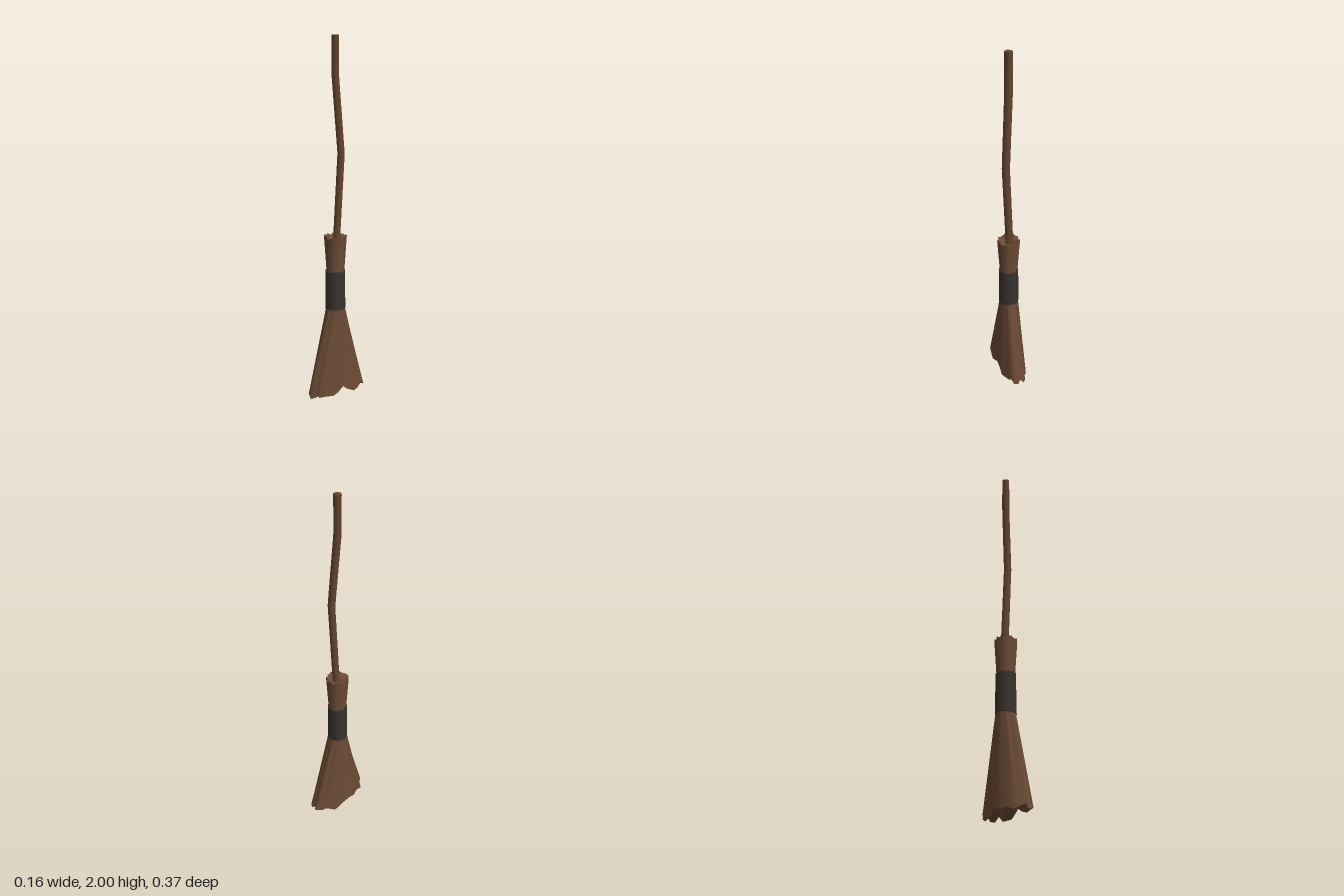
import * as THREE from 'three';

const wood = new THREE.MeshStandardMaterial({ name: 'handle wood', color: 0x65452f });
const straw = new THREE.MeshStandardMaterial({ name: 'brown bristle', color: 0x6b4a35 });
const wrap = new THREE.MeshStandardMaterial({ name: 'dark wrap', color: 0x37332d });

// Small repeatable variation in -1..1
const vary = (i) => Math.sin(i * 12.9898 + 1.7) * Math.cos(i * 4.137);

function geometryFrom(points, index) {
  const g = new THREE.BufferGeometry().setFromPoints(points);
  g.setIndex(index);
  return g;
}

// Smooth skin through closed rings, listed from bottom to top
function loft(rings) {
  const n = rings[0].length, index = [];
  for (let r = 0; r < rings.length - 1; r++) {
    for (let j = 0; j < n; j++) {
      const a = r * n + j, b = r * n + (j + 1) % n;
      index.push(a, a + n, b, b, a + n, b + n);
    }
  }
  const g = geometryFrom(rings.flat(), index);
  g.computeVertexNormals();
  return g;
}

// Flat-shaded fan closing one ring
function cap(ring, centre, up) {
  const n = ring.length, index = [];
  for (let j = 0; j < n; j++) {
    const k = (j + 1) % n;
    index.push(n, up ? k : j, up ? j : k);
  }
  const g = geometryFrom([...ring, centre], index).toNonIndexed();
  g.computeVertexNormals();
  return g;
}

function circle(x, y, z, radius, sides) {
  return Array.from({ length: sides }, (_, j) => {
    const a = (j + 0.5) / sides * Math.PI * 2;
    return new THREE.Vector3(x + radius * Math.cos(a), y, z + radius * Math.sin(a));
  });
}

function part(name, geometry, material) {
  const m = new THREE.Mesh(geometry, material);
  m.name = name;
  return m;
}

// Ragged outline of the bristle tips, as x, z
const TIPS = [
  [0.078, 0], [0.073, 0.03], [0.078, 0.07], [0.071, 0.11], [0.06, 0.155], [0.045, 0.145],
  [0.018, 0.182], [0, 0.185], [-0.025, 0.148], [-0.045, 0.153], [-0.055, 0.11], [-0.075, 0.07],
  [-0.08, 0.035], [-0.072, -0.03], [-0.076, -0.075], [-0.055, -0.135], [-0.038, -0.137],
  [-0.03, -0.178], [-0.015, -0.188], [0, -0.168], [0.015, -0.183], [0.04, -0.175],
  [0.05, -0.155], [0.055, -0.12], [0.078, -0.075], [0.074, -0.03],
];

export function createModel() {
  const model = new THREE.Group();
  model.name = 'broom';

  // Crooked six-sided handle
  const path = [[0, 0.7, -0.005], [0, 0.95, -0.01], [0.024, 1.4, -0.02], [0, 1.8, 0], [0, 2, 0]];
  const handleRings = path.map(([x, y, z]) => circle(x, y, z, 0.021, 6));
  model.add(part('handle', loft(handleRings), wood));
  model.add(part('handleEnd', cap(handleRings.at(-1), new THREE.Vector3(0, 2, 0), true), wood));

  // Pleated bristles: flared fan below, round bundle above
  const angles = TIPS.map(([x, z]) => Math.atan2(z / 0.18, x / 0.078));
  const pleat = (y, radius, depth, ragged = 0) => angles.map((a, j) => {
    const r = radius - (j % 2 ? depth : 0);
    return new THREE.Vector3(r * Math.cos(a), y + ragged * vary(j), r * Math.sin(a));
  });
  const tips = TIPS.map(([x, z], j) => {
    const side = 1 - Math.min(1, Math.abs(z) / 0.06);
    const y = 0.028 + 0.03 * side * (x > 0 ? 1 : 0.3) + (z > 0 ? 0.006 : -0.006) + 0.018 * vary(j);
    return new THREE.Vector3(x, Math.max(0.003, y), z);
  });
  tips[14].y = 0; // longest tip rests on the ground
  const neck = pleat(0.53, 0.054, 0.006);
  const topRing = pleat(0.945, 0.063, 0.008, 0.009);
  model.add(part('bristles', loft([tips, neck, pleat(0.75, 0.05, 0.006), topRing]), straw));
  model.add(part('bristleUnderside', cap(tips, new THREE.Vector3(0, 0.09, 0), false), straw));
  model.add(part('bristleTop', cap(topRing, new THREE.Vector3(0, 0.925, 0), true), straw));

  // Dark binding around the bristles
  const band = new THREE.CylinderGeometry(0.054, 0.057, 0.22, 16);
  band.translate(0, 0.64, 0);
  model.add(part('binding', band, wrap));

  return model;
}
